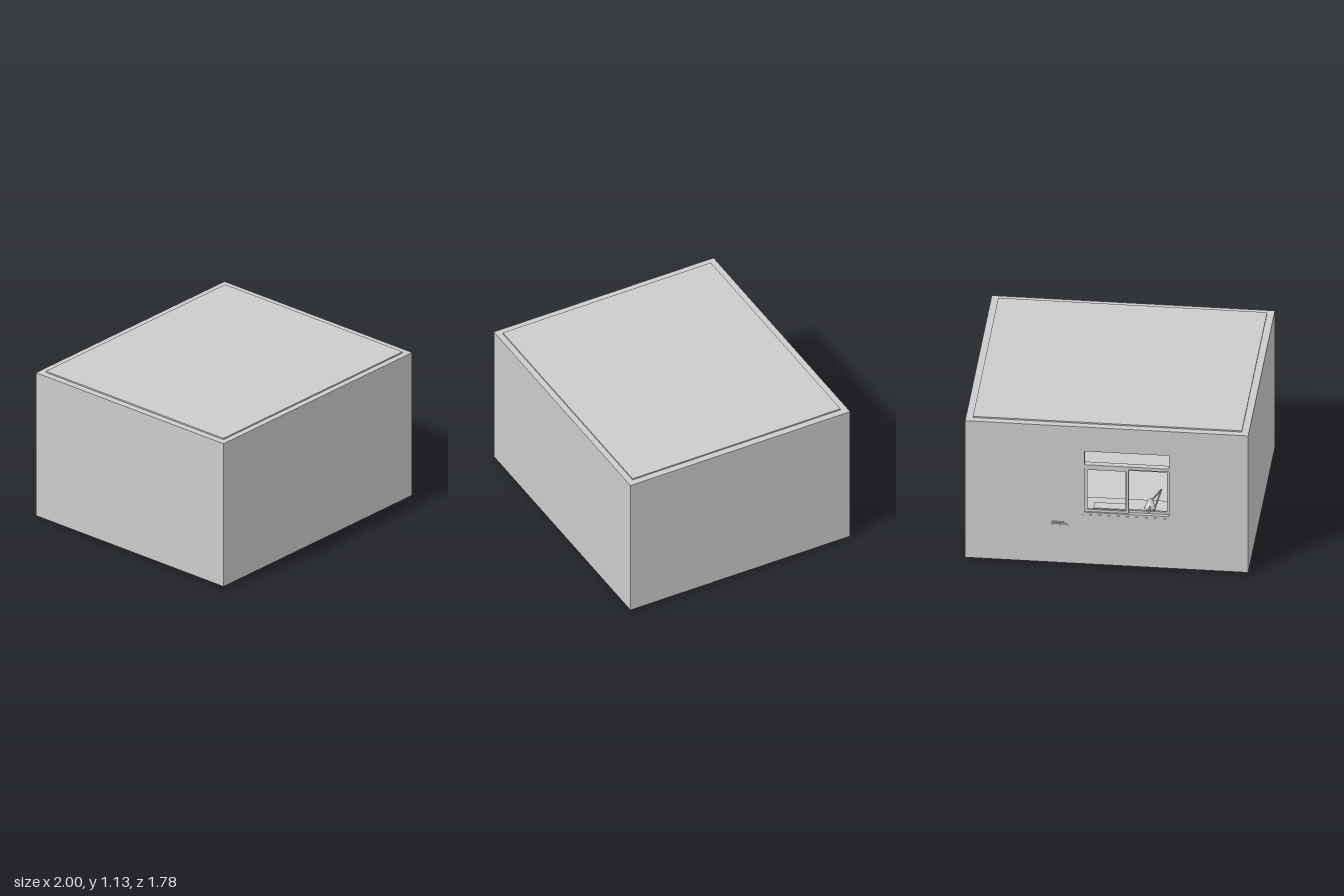
import * as THREE from 'three';

const grey = new THREE.MeshStandardMaterial({ color: 0xcccccc, flatShading: true });

function add(group, name, geometry, x = 0, y = 0, z = 0) {
  const mesh = new THREE.Mesh(geometry, grey);
  mesh.name = name;
  mesh.position.set(x, y, z);
  group.add(mesh);
  return mesh;
}

// Box given by its lower and upper corners
function block(group, name, x0, x1, y0, y1, z0, z1) {
  return add(group, name, new THREE.BoxGeometry(x1 - x0, y1 - y0, z1 - z0),
    (x0 + x1) / 2, (y0 + y1) / 2, (z0 + z1) / 2);
}

// Round bar between two points
function rod(group, name, a, b, radius) {
  const from = new THREE.Vector3(...a), to = new THREE.Vector3(...b);
  const dir = to.clone().sub(from);
  const mesh = add(group, name, new THREE.CylinderGeometry(radius, radius, dir.length(), 8));
  mesh.position.copy(from).add(to).multiplyScalar(0.5);
  mesh.quaternion.setFromUnitVectors(new THREE.Vector3(0, 1, 0), dir.normalize());
  return mesh;
}

// Rectangular frame in the xy plane
function frame(group, name, x0, x1, y0, y1, z0, z1, w) {
  block(group, name, x0, x0 + w, y0, y1, z0, z1);
  block(group, name, x1 - w, x1, y0, y1, z0, z1);
  block(group, name, x0 + w, x1 - w, y0, y0 + w, z0, z1);
  block(group, name, x0 + w, x1 - w, y1 - w, y1, z0, z1);
}

const WIN = { x0: -0.46, x1: 0.175, y0: 0.41, y1: 0.94 };

function createShell() {
  const g = new THREE.Group();
  g.name = 'roomShell';
  const y0 = 0.01, y1 = 1.12;

  // Back wall with the window opening
  const wall = new THREE.Shape([[-1, y0], [1, y0], [1, y1], [-1, y1]].map(p => new THREE.Vector2(...p)));
  wall.holes.push(new THREE.Path([[WIN.x0, WIN.y0], [WIN.x0, WIN.y1], [WIN.x1, WIN.y1], [WIN.x1, WIN.y0]]
    .map(p => new THREE.Vector2(...p))));
  add(g, 'backWall', new THREE.ExtrudeGeometry(wall, { depth: 0.05, bevelEnabled: false }), 0, 0, -0.87);

  block(g, 'frontWall', -1, 1, y0, y1, 0.845, 0.89);
  block(g, 'leftWall', 0.95, 1, y0, y1, -0.82, 0.845);
  block(g, 'rightWall', -1, -0.95, y0, y1, -0.82, 0.845);

  // Slabs stand slightly proud of the walls
  block(g, 'floor', -0.95, 0.95, 0, 0.02, -0.82, 0.845);
  block(g, 'ceiling', -0.95, 0.95, 1.11, 1.13, -0.82, 0.845);
  return g;
}

function createWindow() {
  const g = new THREE.Group();
  g.name = 'window';
  const { x0, x1, y0, y1 } = WIN, mid = (x0 + x1) / 2, bar = 0.8;
  frame(g, 'windowFrame', x0, x1, y0, y1, -0.868, -0.815, 0.018);
  block(g, 'transom', x0 + 0.018, x1 - 0.018, bar - 0.012, bar + 0.012, -0.865, -0.82);
  // Two sliding sashes on separate tracks
  frame(g, 'sash', x0 + 0.018, mid + 0.012, y0 + 0.018, bar - 0.012, -0.84, -0.825, 0.02);
  frame(g, 'sash', mid - 0.012, x1 - 0.018, y0 + 0.018, bar - 0.012, -0.858, -0.843, 0.02);
  return g;
}

function createDesk() {
  const g = new THREE.Group();
  g.name = 'desk';
  block(g, 'deskTop', -0.5, 0.5, 0.29, 0.31, -0.82, -0.45);
  for (const x of [-0.48, 0.45]) {
    for (const z of [-0.8, -0.5]) block(g, 'deskLeg', x, x + 0.03, 0.02, 0.29, z, z + 0.03);
  }
  // Low stack of books pushed against the wall
  [[0.27, 0.39, -0.876], [0.28, 0.385, -0.882], [0.3, 0.39, -0.878]].forEach(([a, b, z], i) => {
    block(g, 'book', a, b, 0.311 + i * 0.012, 0.319 + i * 0.012, z, -0.72);
  });
  block(g, 'keyboard', -0.12, 0.12, 0.31, 0.322, -0.62, -0.54);
  return g;
}

function createLamp() {
  const g = new THREE.Group();
  g.name = 'deskLamp';
  const x = -0.3;
  add(g, 'lampBase', new THREE.CylinderGeometry(0.05, 0.055, 0.015, 16), x, 0.318, -0.7);
  rod(g, 'lowerArm', [x, 0.32, -0.7], [x - 0.06, 0.5, -0.62], 0.006);
  rod(g, 'upperArm', [x - 0.06, 0.5, -0.62], [x, 0.5, -0.8], 0.006);
  // Shade leans out over the sill
  const profile = [[0.012, 0.035], [0.02, 0.02], [0.045, -0.04]].map(p => new THREE.Vector2(...p));
  const shade = add(g, 'lampShade', new THREE.LatheGeometry(profile, 16), x, 0.48, -0.79);
  shade.material = grey.clone();
  shade.material.side = THREE.DoubleSide;
  shade.rotation.x = 0.5;
  rod(g, 'lampKnob', [x, 0.48, -0.83], [x, 0.46, -0.885], 0.009);
  return g;
}

function createCabinet() {
  const g = new THREE.Group();
  g.name = 'cabinet';
  block(g, 'cabinetBody', 0.8, 0.95, 0.02, 0.3, 0.2, 0.5);
  for (const y of [0.05, 0.17]) block(g, 'drawer', 0.79, 0.8, y, y + 0.1, 0.22, 0.48);
  return g;
}

export function createModel() {
  const model = new THREE.Group();
  model.name = 'room';
  model.add(createShell(), createWindow(), createDesk(), createLamp(), createCabinet());
  return model;
}
